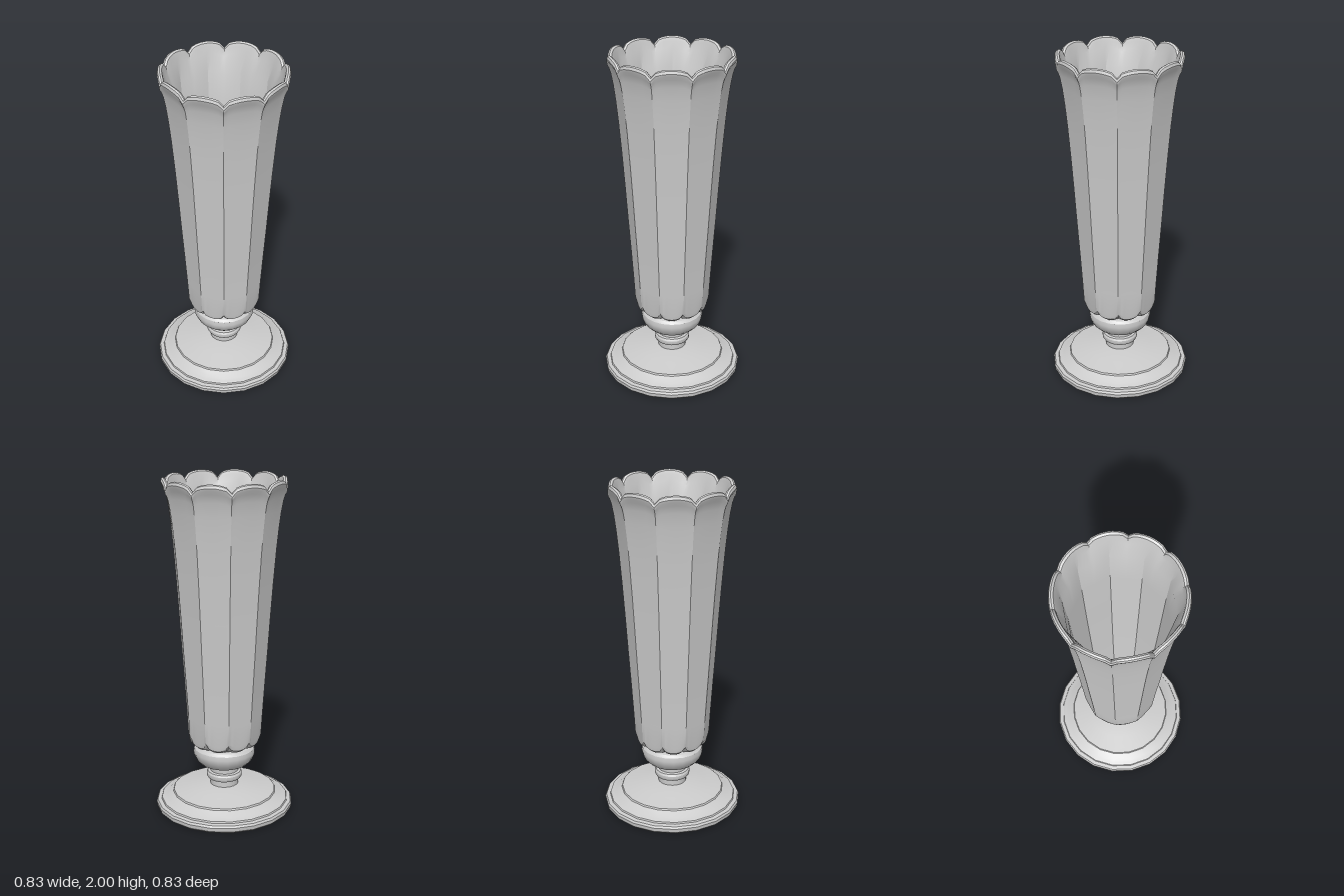
import * as THREE from 'three';
import { toCreasedNormals } from 'three/addons/utils/BufferGeometryUtils.js';

const LOBES = 10, STEPS = 8, HALF = Math.PI / LOBES;
const material = new THREE.MeshStandardMaterial({ color: 0xcccccc });

function addMesh(group, name, geometry) {
  const mesh = new THREE.Mesh(toCreasedNormals(geometry, 0.5), material);
  mesh.name = name;
  group.add(mesh);
}

function lathe(profile) {
  return new THREE.LatheGeometry(profile.map(([r, y]) => new THREE.Vector2(r, y)), 20);
}

// Lofts ten-lobed rings. Each row: [corner radius, height, roundness 0..1,
// scallop height (negative dips between lobes), corners on lobe centres?]
function lobedLoft(rows) {
  const columns = LOBES * STEPS, positions = [], indices = [];
  for (const [radius, height, round, scallop, centred] of rows) {
    for (let j = 0; j < columns; j++) {
      const u = (j % STEPS) / (STEPS / 2) - 1; // -1..1 across one lobe
      const angle = (Math.floor(j / STEPS) * 2 + u) * HALF;
      const off = HALF * (centred ? 1 - Math.abs(u) : u);
      const flat = Math.cos(HALF) / Math.cos(off);
      const r = radius * (flat + (1 - flat) * round);
      const y = height + scallop * (1 - Math.sqrt(1 - u * u));
      positions.push(r * Math.cos(angle), y, r * Math.sin(angle));
    }
  }
  for (let i = 0; i < rows.length - 1; i++) {
    for (let j = 0; j < columns; j++) {
      const a = i * columns + j, b = i * columns + (j + 1) % columns;
      indices.push(a, a + columns, b, b, a + columns, b + columns);
    }
  }
  const geometry = new THREE.BufferGeometry();
  geometry.setAttribute('position', new THREE.Float32BufferAttribute(positions, 3));
  geometry.setIndex(indices);
  return geometry;
}

export function createModel() {
  const group = new THREE.Group();
  group.name = 'vase';

  // Stepped round foot
  addMesh(group, 'foot', lathe([
    [0, 0], [0.4, 0], [0.412, 0.012], [0.415, 0.035], [0.408, 0.048], [0.385, 0.052],
    [0.382, 0.062], [0.37, 0.068], [0.35, 0.072], [0.32, 0.095], [0.312, 0.098],
    [0.308, 0.108], [0.2, 0.125], [0.1, 0.142], [0, 0.142],
  ]));

  // Stem with a small ring and a larger bulb
  addMesh(group, 'stem', lathe([
    [0.085, 0.135], [0.085, 0.178], [0.1, 0.182], [0.107, 0.195], [0.107, 0.212],
    [0.1, 0.224], [0.085, 0.228], [0.085, 0.262], [0.115, 0.268], [0.145, 0.28],
    [0.17, 0.305], [0.183, 0.335], [0.187, 0.355], [0.183, 0.378], [0.17, 0.392],
    [0.145, 0.398], [0.145, 0.43],
  ]));

  // Faceted body: underside, outer wall, scalloped lip, inner wall and floor
  addMesh(group, 'body', lobedLoft([
    [0.13, 0.4, 1, 0],
    [0.165, 0.402, 1, 0.01],
    [0.195, 0.41, 0.6, 0.03],
    [0.215, 0.425, 0.3, 0.035],
    [0.224, 0.455, 0, 0.02],
    [0.231, 0.6, 0, 0],
    [0.244, 0.8, 0, 0],
    [0.258, 1.0, 0, 0],
    [0.271, 1.2, 0, 0],
    [0.285, 1.4, 0, 0],
    [0.301, 1.6, 0, 0],
    [0.313, 1.72, 0.05, 0],
    [0.325, 1.82, 0.15, -0.005],
    [0.337, 1.9, 0.3, -0.02],
    [0.347, 1.945, 0.6, -0.035],
    [0.354, 1.965, 0.9, -0.045],
    [0.357, 1.98, 1, -0.045],
    [0.352, 1.995, 1, -0.045],
    [0.342, 2.0, 1, -0.045],
    [0.33, 1.993, 1, -0.045],
    [0.325, 1.975, 1, -0.04],
    [0.318, 1.93, 1, -0.02, true],
    [0.298, 1.83, 0, 0, true],
    [0.279, 1.6, 0, 0, true],
    [0.255, 1.2, 0, 0, true],
    [0.228, 0.8, 0, 0, true],
    [0.2, 0.5, 0, 0, true],
    [0.162, 0.46, 0, 0, true],
    [0, 0.46, 0, 0, true],
  ]));

  return group;
}
